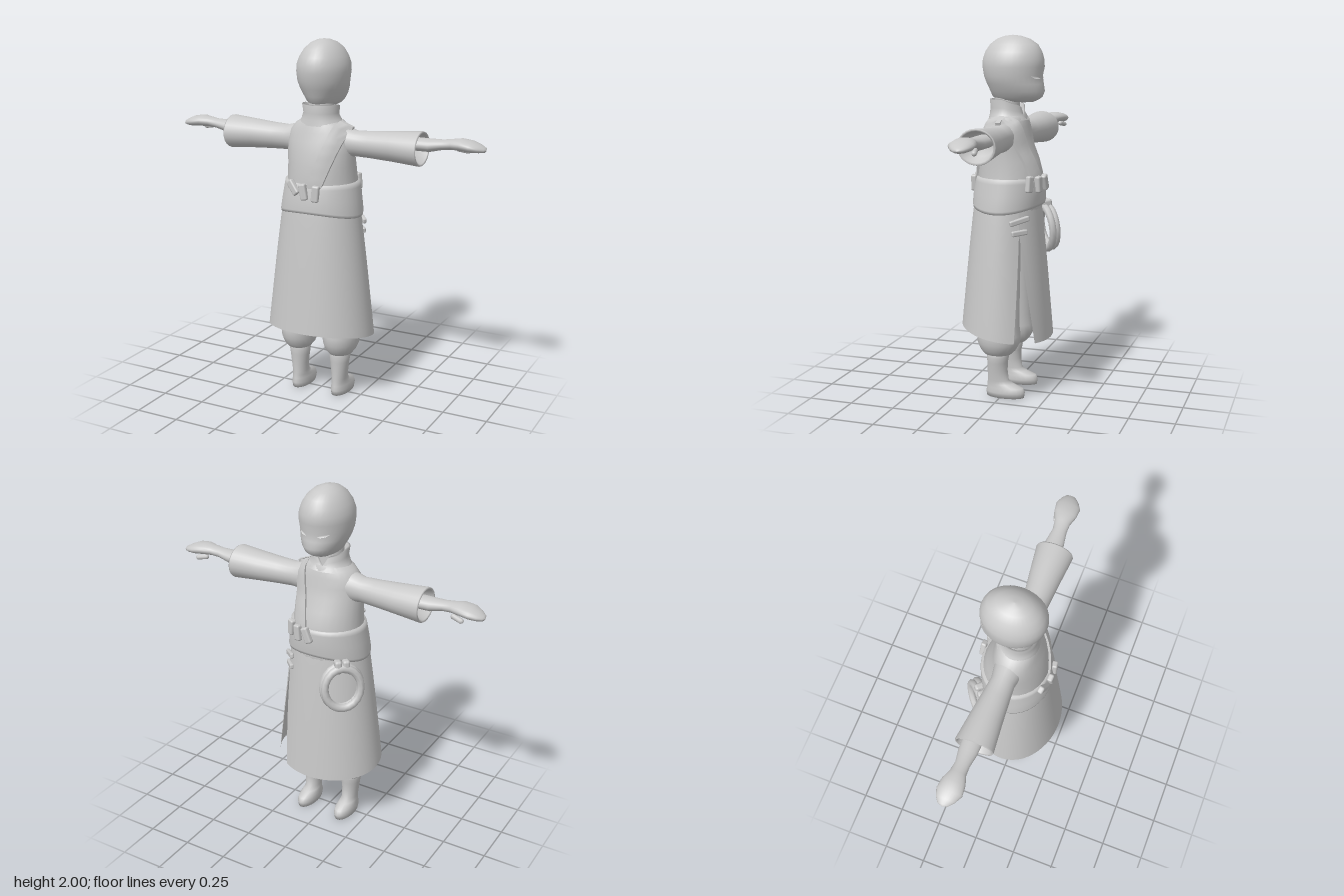
import * as THREE from 'three';
import { RoundedBoxGeometry } from 'three/addons/geometries/RoundedBoxGeometry.js';

const clay = new THREE.MeshStandardMaterial({ color: 0xc8c8c8, side: THREE.DoubleSide });
clay.name = 'clayGrey';
const pale = new THREE.MeshStandardMaterial({ color: 0xf4f4f4, side: THREE.DoubleSide });
pale.name = 'eyeWhite';

// Elliptical cross-sections, each [y, cx, cz, rx, rz], from bottom to top
function loft(rings, n = 28) {
  const pos = [], idx = [];
  rings.forEach(([y, cx, cz, rx, rz]) => {
    for (let j = 0; j < n; j++) {
      const a = (j / n) * Math.PI * 2;
      pos.push(cx + rx * Math.cos(a), y, cz + rz * Math.sin(a));
    }
  });
  for (let i = 0; i < rings.length - 1; i++) {
    for (let j = 0; j < n; j++) {
      const a = i * n + j, b = i * n + (j + 1) % n;
      idx.push(a, a + n, b, b, a + n, b + n);
    }
  }
  return finish(pos, idx);
}

function finish(pos, idx) {
  const g = new THREE.BufferGeometry();
  g.setAttribute('position', new THREE.Float32BufferAttribute(pos, 3));
  g.setIndex(idx);
  g.computeVertexNormals();
  return g;
}

// Moves every vertex by a rule
function bend(g, rule) {
  const p = g.attributes.position, v = new THREE.Vector3();
  for (let i = 0; i < p.count; i++) {
    rule(v.fromBufferAttribute(p, i));
    p.setXYZ(i, v.x, v.y, v.z);
  }
  g.computeVertexNormals();
  return g;
}

// Mirrored copy with the winding kept outward
function mirror(g) {
  const m = g.clone().scale(-1, 1, 1), ix = m.index.array;
  for (let i = 0; i < ix.length; i += 3) [ix[i], ix[i + 1]] = [ix[i + 1], ix[i]];
  m.computeVertexNormals();
  return m;
}

// z on the front (s = -1) or back (s = 1) of a loft
function surfaceZ(rings, x, y, s) {
  let i = 0;
  while (i < rings.length - 2 && rings[i + 1][0] < y) i++;
  const a = rings[i], b = rings[i + 1];
  const t = THREE.MathUtils.clamp((y - a[0]) / (b[0] - a[0]), 0, 1);
  const [, cx, cz, rx, rz] = a.map((k, j) => k + (b[j] - k) * t);
  return cz + s * rz * Math.sqrt(Math.max(0, 1 - ((x - cx) / rx) ** 2));
}

const HEAD = [
  [1.638, 0, -0.08, 0.001, 0.001], [1.642, 0, -0.08, 0.05, 0.06], [1.655, 0, -0.05, 0.078, 0.12],
  [1.67, 0, -0.05, 0.092, 0.14], [1.7, 0, -0.05, 0.11, 0.152], [1.74, 0, -0.037, 0.128, 0.158],
  [1.78, 0, -0.026, 0.138, 0.162], [1.83, 0, -0.027, 0.143, 0.172], [1.87, 0, -0.027, 0.14, 0.17],
  [1.91, 0, -0.028, 0.125, 0.158], [1.95, 0, -0.03, 0.1, 0.133], [1.98, 0, -0.028, 0.067, 0.09],
  [1.995, 0, -0.025, 0.033, 0.045], [2, 0, -0.025, 0.001, 0.001],
];
const TORSO = [
  [1.04, 0, 0, 0.22, 0.18], [1.2, 0, -0.015, 0.202, 0.178], [1.25, 0, -0.013, 0.196, 0.177],
  [1.33, 0, -0.005, 0.193, 0.162], [1.4, 0, 0.004, 0.193, 0.142], [1.46, 0, 0.003, 0.193, 0.128],
  [1.51, 0, 0, 0.18, 0.115], [1.55, 0, 0, 0.145, 0.106], [1.575, 0, 0, 0.105, 0.095],
];
const BELT = [
  [1.05, 0, 0, 0.2, 0.16], [1.048, 0, -0.002, 0.234, 0.194], [1.065, 0, -0.004, 0.237, 0.198],
  [1.14, 0, -0.008, 0.226, 0.197], [1.21, 0, -0.014, 0.216, 0.192], [1.235, 0, -0.015, 0.212, 0.187],
  [1.238, 0, -0.015, 0.19, 0.165],
];
// Arms are lofted upright, then laid along x: [x, -y, z, ry, rz]
const SLEEVE = [
  [0.06, -1.46, -0.005, 0.09, 0.085], [0.15, -1.456, -0.008, 0.082, 0.075], [0.21, -1.452, -0.01, 0.07, 0.065],
  [0.3, -1.452, -0.013, 0.073, 0.074], [0.42, -1.453, -0.017, 0.081, 0.087], [0.575, -1.453, -0.02, 0.093, 0.104],
  [0.582, -1.453, -0.02, 0.09, 0.101], [0.578, -1.453, -0.02, 0.08, 0.092], [0.5, -1.46, -0.025, 0.06, 0.07],
  [0.49, -1.47, -0.03, 0.001, 0.001],
];
const ARM = [
  [0.48, -1.475, -0.035, 0.035, 0.055], [0.62, -1.475, -0.035, 0.035, 0.05], [0.69, -1.484, -0.035, 0.027, 0.039],
  [0.74, -1.49, -0.038, 0.028, 0.043], [0.79, -1.493, -0.04, 0.032, 0.062], [0.845, -1.487, -0.042, 0.03, 0.068],
  [0.885, -1.479, -0.047, 0.022, 0.05], [0.912, -1.473, -0.05, 0.013, 0.027], [0.92, -1.471, -0.05, 0.001, 0.001],
];
const BOOT = [
  [0, 0.125, -0.02, 0.001, 0.001], [0.001, 0.125, -0.022, 0.05, 0.108], [0.03, 0.125, -0.022, 0.055, 0.113],
  [0.055, 0.125, -0.02, 0.05, 0.104], [0.075, 0.125, 0.008, 0.045, 0.076], [0.095, 0.125, 0.02, 0.043, 0.06],
  [0.15, 0.127, 0.024, 0.048, 0.057], [0.2, 0.127, 0.024, 0.055, 0.058], [0.232, 0.128, 0.022, 0.06, 0.063],
  [0.24, 0.128, 0.022, 0.055, 0.058], [0.27, 0.128, 0.022, 0.055, 0.058],
];
const TROUSERS = [
  [0.245, 0.13, 0.02, 0.05, 0.06], [0.25, 0.13, 0.02, 0.066, 0.076], [0.275, 0.13, 0.018, 0.086, 0.1],
  [0.315, 0.132, 0.015, 0.1, 0.12], [0.36, 0.132, 0.015, 0.102, 0.124], [0.42, 0.13, 0.015, 0.095, 0.115],
  [0.6, 0.12, 0.01, 0.09, 0.11], [0.95, 0.1, 0.005, 0.085, 0.105],
];

// Flared coat skirt with a slit that opens towards the hem
function skirtGeometry(rows = 20, cols = 48) {
  const pos = [], idx = [], rad = Math.PI / 180;
  for (let i = 0; i <= rows; i++) {
    const t = i / rows, open = Math.max(0, (t - 0.2) / 0.8);
    const start = (39 + 18 * open) * rad, end = (399 - 10 * open) * rad;
    const rx = 0.22 + 0.09 * t ** 0.9, rz = 0.18 + 0.07 * t ** 0.9;
    for (let j = 0; j <= cols; j++) {
      const a = start + (end - start) * j / cols;
      const z = 0.004 - rz * Math.sin(a);
      pos.push(rx * Math.cos(a), 1.1 + (0.37 + 0.16 * z - 1.1) * t, z);
    }
  }
  for (let i = 0; i < rows; i++) {
    for (let j = 0; j < cols; j++) {
      const a = i * (cols + 1) + j, c = a + cols + 1;
      idx.push(a, a + 1, c, a + 1, c + 1, c);
    }
  }
  return finish(pos, idx);
}

export function createModel() {
  const model = new THREE.Group();
  model.name = 'robedFigure';
  const add = (name, geo, parent = model, mat = clay) => {
    const m = new THREE.Mesh(geo, mat);
    m.name = name;
    parent.add(m);
    return m;
  };
  const pair = (name, geo, mat = clay) => {
    add(name + 'Left', geo, model, mat);
    add(name + 'Right', mirror(geo), model, mat);
  };

  // Head, neck and eyes
  add('head', loft(HEAD, 32));
  add('neck', loft([[1.54, 0, 0.005, 0.08, 0.075], [1.62, 0, 0.008, 0.072, 0.068], [1.72, 0, 0.005, 0.072, 0.072]]));
  const lens = new THREE.Shape();
  lens.moveTo(0.032, 1.768);
  lens.quadraticCurveTo(0.06, 1.786, 0.09, 1.782);
  lens.quadraticCurveTo(0.065, 1.762, 0.032, 1.768);
  pair('eye', bend(new THREE.ShapeGeometry(lens, 8), v => { v.z = surfaceZ(HEAD, v.x, v.y, -1) - 0.004; }), pale);

  // Coat body, collar with a front notch, belt and skirt
  add('torso', loft(TORSO));
  const collar = loft([[1.545, 0, -0.002, 0.135, 0.11], [1.575, 0, 0, 0.112, 0.103], [1.61, 0, 0.006, 0.098, 0.093],
    [1.655, 0, 0.008, 0.105, 0.095], [1.657, 0, 0.008, 0.096, 0.086], [1.6, 0, 0.006, 0.08, 0.075]], 40);
  add('collar', bend(collar, v => {
    if (v.z < 0) v.y -= (v.y - 1.545) * (-v.z * 4 + 0.5 * Math.max(0, 1 - Math.abs(v.x) / 0.035));
  }));
  add('belt', bend(loft(BELT, 36), v => { v.y += 0.9 * v.z * v.z * (1.238 - v.y) / 0.19; }));
  add('skirt', skirtGeometry());

  // Limbs
  const lay = rings => loft(rings, 24).rotateZ(-Math.PI / 2);
  pair('sleeve', lay(SLEEVE));
  pair('arm', lay(ARM));
  pair('thumb', new THREE.CapsuleGeometry(0.014, 0.05, 4, 10).rotateZ(1.4).rotateY(0.25).translate(0.785, 1.455, -0.088));
  pair('boot', loft(BOOT, 24));
  pair('trouserLeg', loft(TROUSERS, 24));

  // Shoulder strap, laid over the back and the chest
  const strap = (name, s, x0, x1) => {
    add(name, bend(new THREE.BoxGeometry(1, 1, 1, 4, 16, 1), v => {
      const t = v.y + 0.5, y = 1.21 + 0.345 * t + v.x * -0.03;
      const x = x0 + (x1 - x0) * t + v.x * 0.075;
      v.set(x, y, surfaceZ(TORSO, x, y, s) + v.z * 0.026);
    }));
  };
  strap('strapBack', 1, 0.03, 0.155);
  strap('strapFront', -1, 0.07, 0.145);

  // Small pouches hanging on the belt: [x, y, side, tilt]
  [[-0.085, 1.215, 1, 0.7], [-0.015, 1.2, 1, 0.2], [0.055, 1.195, 1, -0.08],
    [0.02, 1.21, -1, -0.4], [0.085, 1.205, -1, -0.1], [0.145, 1.21, -1, 0.1]].forEach(([x, y, s, tilt]) => {
    const pouch = add('pouch', new RoundedBoxGeometry(0.042, 0.09, 0.032, 2, 0.01));
    pouch.position.set(x, y, surfaceZ(BELT, x, y, s) + s * 0.008);
    pouch.rotation.set(0, s > 0 ? x * 3 : Math.PI - x * 3, tilt * s);
  });

  // Fastenings above the slit
  [[1.015, 0.12, 0.22], [0.95, 0.095, 0.08]].forEach(([y, w, tilt]) => {
    const toggle = add('toggle', new RoundedBoxGeometry(w, 0.03, 0.022, 2, 0.008));
    toggle.position.set(0.187, y, -0.122);
    toggle.rotation.set(0, Math.PI * 0.75, tilt);
  });

  // Coiled rope tied at the hip
  const coil = new THREE.Group();
  coil.name = 'ropeCoil';
  [[0.105, 0], [0.1, 0.028]].forEach(([r, z], i) => {
    add('ropeLoop' + i, new THREE.TorusGeometry(r, 0.021, 8, 20).scale(1, 1.16, 1).translate(0, 0, z - 0.012), coil);
  });
  [-0.022, 0.022].forEach(x => {
    add('ropeKnot', new RoundedBoxGeometry(0.04, 0.075, 0.06, 2, 0.015), coil).position.set(x, 0.125, 0.002);
  });
  coil.position.set(-0.175, 0.925, -0.168);
  coil.rotation.set(0, -2.4, 0);
  coil.rotateX(-0.1);
  model.add(coil);

  return model;
}
